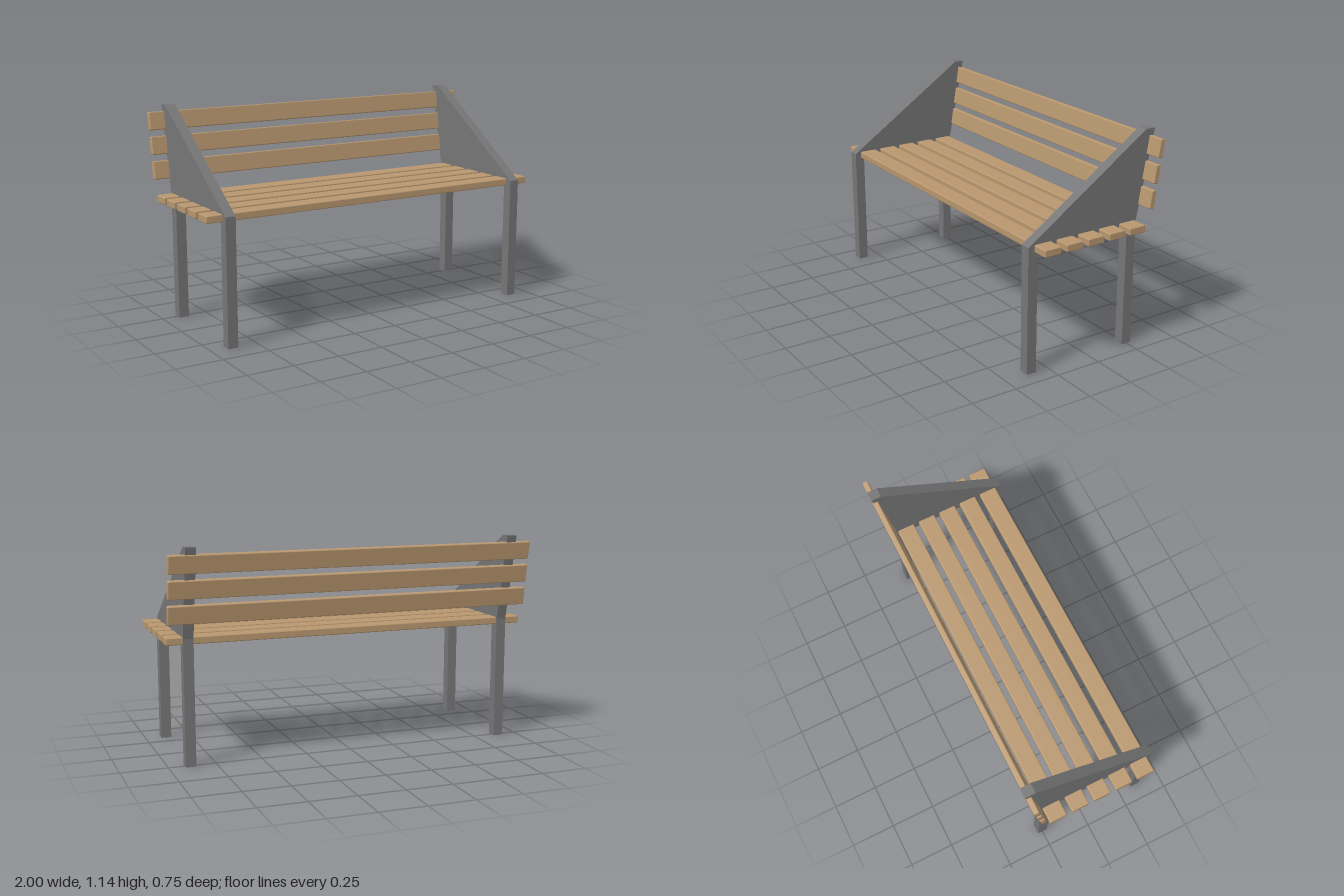
import * as THREE from 'three';
import { RoundedBoxGeometry } from 'three/addons/geometries/RoundedBoxGeometry.js';

const wood = new THREE.MeshStandardMaterial({ color: 0xb8976f });
wood.name = 'wood';
const metal = new THREE.MeshStandardMaterial({ color: 0x767676 });
metal.name = 'greyMetal';

const LENGTH = 2;
const FRAME_WIDTH = 0.055;

// Side frame outline as [z, y]: two legs, seat rail and triangular arm panel
const OUTLINE = [
  [0.378, 0], [0.378, 0.67], [-0.322, 1.142], [-0.377, 1.142], [-0.277, 0.67],
  [-0.277, 0], [-0.222, 0], [-0.222, 0.632], [0.324, 0.632], [0.324, 0],
];

function sideFrame(name, x) {
  const shape = new THREE.Shape(OUTLINE.map(([z, y]) => new THREE.Vector2(z, y)));
  const geometry = new THREE.ExtrudeGeometry(shape, { depth: FRAME_WIDTH, bevelEnabled: false });
  geometry.translate(0, 0, -FRAME_WIDTH / 2).rotateY(-Math.PI / 2);
  const mesh = new THREE.Mesh(geometry, metal);
  mesh.name = name;
  mesh.position.x = x;
  return mesh;
}

// Softly rounded plank running the full length of the bench
function slat(name, height, depth, y, z, tilt = 0) {
  const mesh = new THREE.Mesh(new RoundedBoxGeometry(LENGTH, height, depth, 2, 0.006), wood);
  mesh.name = name;
  mesh.position.set(0, y, z);
  mesh.rotation.x = tilt;
  return mesh;
}

export function createModel() {
  const bench = new THREE.Group();
  bench.name = 'bench';

  bench.add(sideFrame('leftFrame', 0.887), sideFrame('rightFrame', -0.887));

  // Seat slats, front to back
  for (let i = 0; i < 5; i++) {
    bench.add(slat(`seatSlat${i + 1}`, 0.039, 0.097, 0.659, 0.294 - i * 0.1288));
  }

  // Back slats, bottom to top, leaning with the frame
  for (let i = 0; i < 3; i++) {
    bench.add(slat(`backSlat${i + 1}`, 0.097, 0.03, 0.801 + i * 0.1285, -0.312 - i * 0.0198, -0.16));
  }

  return bench;
}
